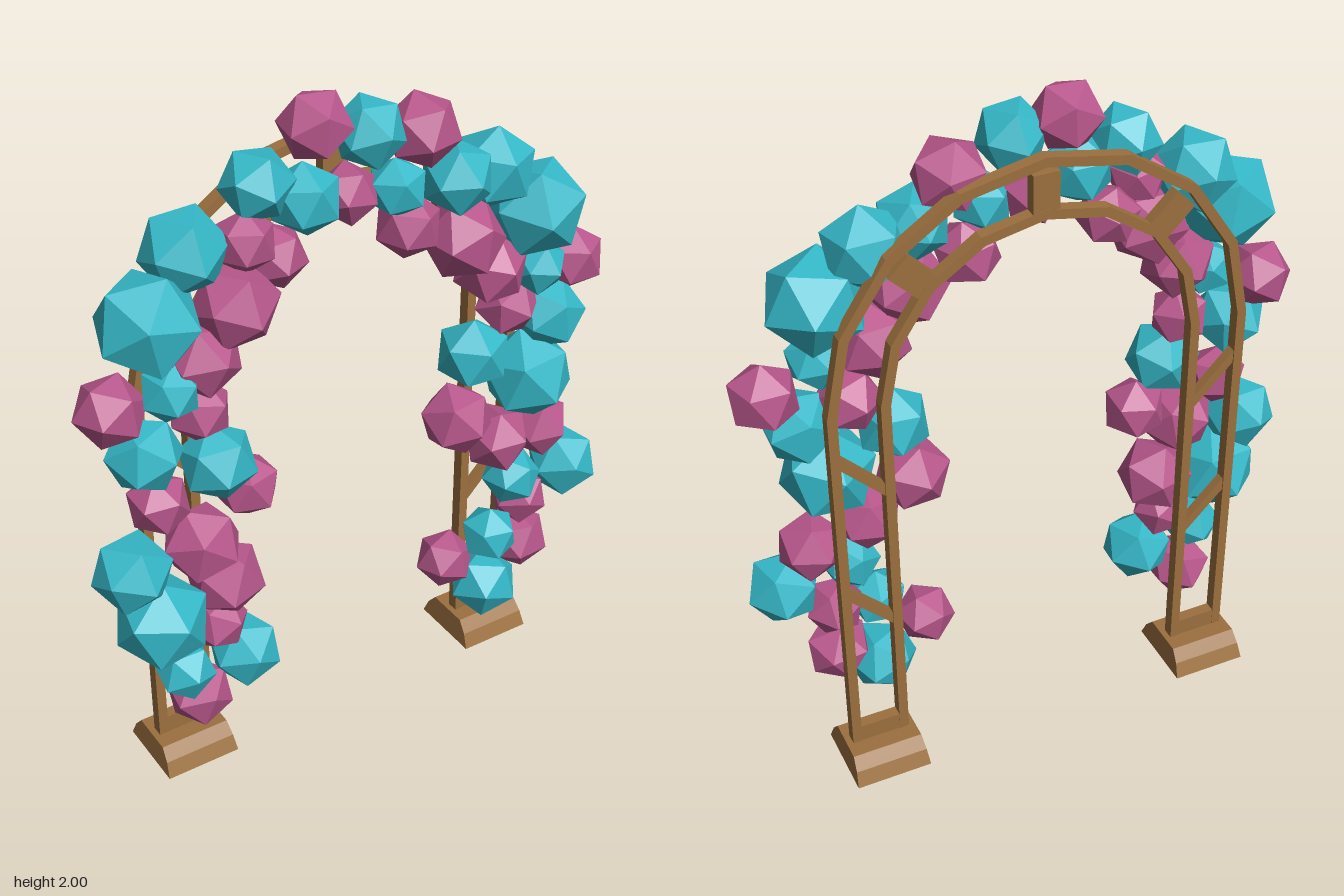
import * as THREE from 'three';

const mat = (color) => new THREE.MeshStandardMaterial({ color, flatShading: true });
const wood = mat(0x9c703f), teal = mat(0x35b8c8), pink = mat(0xb8578c);

// balloons: x, y, z, radius
const tealBalloons = [
  [0.02, 1.87, 0.05, 0.1], [-0.295, 1.8, 0.03, 0.1], [-0.17, 1.735, 0.05, 0.1], [0.1, 1.7, 0.06, 0.085],
  [-0.5, 1.67, 0.02, 0.12], [0.29, 1.68, 0.06, 0.105], [0.43, 1.66, 0.03, 0.12], [0.56, 1.52, 0.06, 0.145],
  [-0.63, 1.525, 0.06, 0.145], [0.57, 1.34, 0.07, 0.085], [-0.585, 1.32, 0.07, 0.085], [-0.66, 1.145, 0.05, 0.11],
  [-0.455, 1.055, 0.06, 0.11], [-0.72, 0.79, 0.05, 0.115], [-0.65, 0.605, 0.06, 0.14], [-0.59, 0.4, 0.06, 0.09],
  [-0.395, 0.38, 0.05, 0.11], [0.635, 1.16, 0.05, 0.11], [0.38, 1.1, 0.04, 0.11], [0.565, 0.985, 0.06, 0.14],
  [0.52, 0.645, 0.07, 0.09], [0.72, 0.62, 0.06, 0.11], [0.44, 0.465, 0.08, 0.09], [0.45, 0.26, 0.05, 0.11],
];
const pinkBalloons = [
  [-0.12, 1.91, 0.02, 0.1], [0.205, 1.82, 0.02, 0.105], [-0.03, 1.705, 0.03, 0.085], [-0.35, 1.67, 0.06, 0.085],
  [-0.25, 1.59, 0.03, 0.09], [0.15, 1.57, 0.04, 0.095], [0.31, 1.5, 0.07, 0.12], [-0.39, 1.51, 0.07, 0.12],
  [-0.48, 1.38, 0.05, 0.11], [0.42, 1.37, 0.05, 0.11], [0.73, 1.3, 0.02, 0.1], [0.5, 1.22, 0.03, 0.095],
  [-0.73, 1.285, 0.02, 0.1], [-0.485, 1.21, 0.03, 0.09], [-0.62, 0.965, 0.03, 0.09], [-0.355, 0.925, 0.03, 0.095],
  [-0.52, 0.82, 0.07, 0.115], [-0.44, 0.65, 0.04, 0.115], [-0.47, 0.51, 0.04, 0.09], [-0.535, 0.27, 0.03, 0.1],
  [0.325, 0.905, 0.05, 0.11], [0.465, 0.795, 0.06, 0.105], [0.64, 0.765, 0.03, 0.1], [0.585, 0.525, 0.03, 0.09],
  [0.315, 0.39, 0.03, 0.09], [0.585, 0.365, 0.03, 0.1],
];

const SPRING = 1.25, BACK = -0.07, OUTER = 0.602, INNER = 0.455;

function addMesh(parent, name, geometry, material, x = 0, y = 0, z = 0) {
  const mesh = new THREE.Mesh(geometry, material);
  mesh.name = name;
  mesh.position.set(x, y, z);
  parent.add(mesh);
  return mesh;
}

// arch outline: straight leg, eight-sided half circle, straight leg
function archPoints(r) {
  const pts = [new THREE.Vector2(r, 0.06)];
  for (let i = 0; i <= 8; i++) {
    const a = (i / 8) * Math.PI;
    pts.push(new THREE.Vector2(r * Math.cos(a), SPRING + r * Math.sin(a)));
  }
  pts.push(new THREE.Vector2(-r, 0.06));
  return pts;
}

function archRail(r) {
  const shape = new THREE.Shape([...archPoints(r + 0.014), ...archPoints(r - 0.014).reverse()]);
  return new THREE.ExtrudeGeometry(shape, { depth: 0.036, bevelEnabled: false }).translate(0, 0, BACK - 0.018);
}

// foot with a chamfered profile in z and slightly tapered ends
function footGeometry() {
  const profile = [[-0.118, 0], [0.118, 0], [0.098, 0.045], [0.068, 0.08], [-0.068, 0.08], [-0.098, 0.045]];
  const shape = new THREE.Shape(profile.map(([z, y]) => new THREE.Vector2(z, y)));
  const g = new THREE.ExtrudeGeometry(shape, { depth: 0.228, bevelEnabled: false });
  g.translate(0, 0, -0.114).rotateY(Math.PI / 2);
  const p = g.attributes.position;
  for (let i = 0; i < p.count; i++) p.setX(i, p.getX(i) * (1 - p.getY(i) * 0.9));
  g.computeVertexNormals();
  return g;
}

export function createModel() {
  const model = new THREE.Group();
  model.name = 'balloonArch';

  const frame = new THREE.Group();
  frame.name = 'woodenFrame';
  frame.position.x = -0.015;
  model.add(frame);
  addMesh(frame, 'outerRail', archRail(OUTER), wood);
  addMesh(frame, 'innerRail', archRail(INNER), wood);

  // blocks tying the rails together around the curve
  const mid = (OUTER + INNER) / 2, gap = OUTER - INNER;
  for (const a of [45, 90, 135].map(THREE.MathUtils.degToRad)) {
    const block = addMesh(frame, 'archBlock', new THREE.BoxGeometry(gap - 0.02, 0.075, 0.034), wood,
      mid * 0.96 * Math.cos(a), SPRING + mid * 0.96 * Math.sin(a), BACK);
    block.rotation.z = a;
  }

  // feet, low rungs and diagonal braces on both legs
  for (const s of [1, -1]) {
    addMesh(frame, 'foot', footGeometry(), wood, s * mid, 0, BACK);
    addMesh(frame, 'lowRung', new THREE.BoxGeometry(gap, 0.06, 0.034), wood, s * mid, 0.107, BACK);
    for (const y of [1.04, 0.58]) {
      const brace = addMesh(frame, 'legBrace', new THREE.BoxGeometry(0.2, 0.028, 0.028), wood, s * mid, y, BACK);
      brace.rotation.z = s * 0.8;
    }
  }

  // faceted balloons, each turned differently
  let seed = 7;
  const random = () => (seed = (seed * 16807) % 2147483647) / 2147483647;
  const balloons = new THREE.Group();
  balloons.name = 'balloons';
  model.add(balloons);
  for (const [name, list, material] of [['tealBalloon', tealBalloons, teal], ['pinkBalloon', pinkBalloons, pink]]) {
    for (const [x, y, z, r] of list) {
      const ball = addMesh(balloons, name, new THREE.IcosahedronGeometry(r, 0), material, x, y, z);
      ball.rotation.set(random() * 6.28, random() * 6.28, random() * 6.28);
    }
  }
  return model;
}
